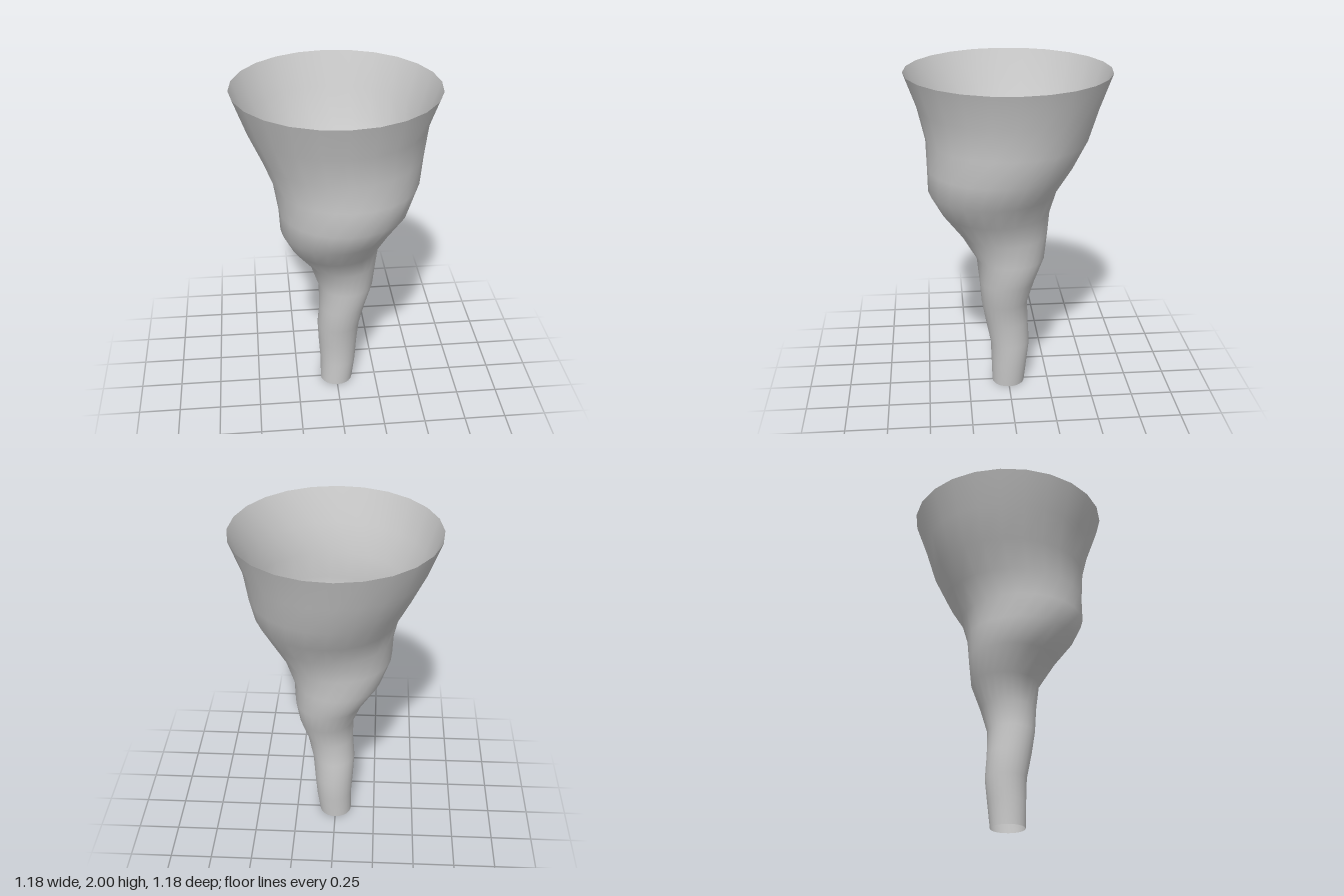
import * as THREE from 'three';

// Ring stations from the foot to the rim: [height, centre x, centre z, radius]
const RINGS = [
  [0, 0, 0, 0.10],
  [0.15, 0.01, -0.005, 0.11],
  [0.29, 0.01, -0.01, 0.12],
  [0.44, 0.012, 0.01, 0.13],
  [0.585, 0.033, 0.025, 0.14],
  [0.73, 0.055, 0.012, 0.165],
  [0.88, 0.038, -0.01, 0.203],
  [1.02, -0.01, 0.025, 0.26],
  [1.165, -0.01, 0.075, 0.322],
  [1.31, 0.033, 0.095, 0.373],
  [1.46, 0.052, 0.052, 0.418],
  [1.62, 0.03, 0.01, 0.464],
  [1.8, 0.001, 0, 0.517],
  [2.0, 0, 0, 0.589],
];
const SIDES = 24;

// Open tube through circular rings whose centres wander around the axis
function ringTube(rings, sides) {
  const positions = [], indices = [];
  for (const [y, cx, cz, r] of rings) {
    for (let i = 0; i < sides; i++) {
      const a = (i / sides) * Math.PI * 2 - 0.025;
      positions.push(cx + r * Math.cos(a), y, cz + r * Math.sin(a));
    }
  }
  for (let k = 0; k < rings.length - 1; k++) {
    for (let i = 0; i < sides; i++) {
      const j = (i + 1) % sides;
      const a = k * sides + i, b = k * sides + j;
      const c = a + sides, d = b + sides;
      indices.push(a, c, b, b, c, d);
    }
  }
  const geometry = new THREE.BufferGeometry();
  geometry.setAttribute('position', new THREE.Float32BufferAttribute(positions, 3));
  geometry.setIndex(indices);
  geometry.computeVertexNormals();
  return geometry;
}

export function createModel() {
  const group = new THREE.Group();
  group.name = 'swirlingFunnel';

  // Thin shell, open at the foot and the rim
  const material = new THREE.MeshStandardMaterial({ color: 0xcccccc, side: THREE.DoubleSide });
  const shell = new THREE.Mesh(ringTube(RINGS, SIDES), material);
  shell.name = 'funnelShell';
  group.add(shell);

  return group;
}
